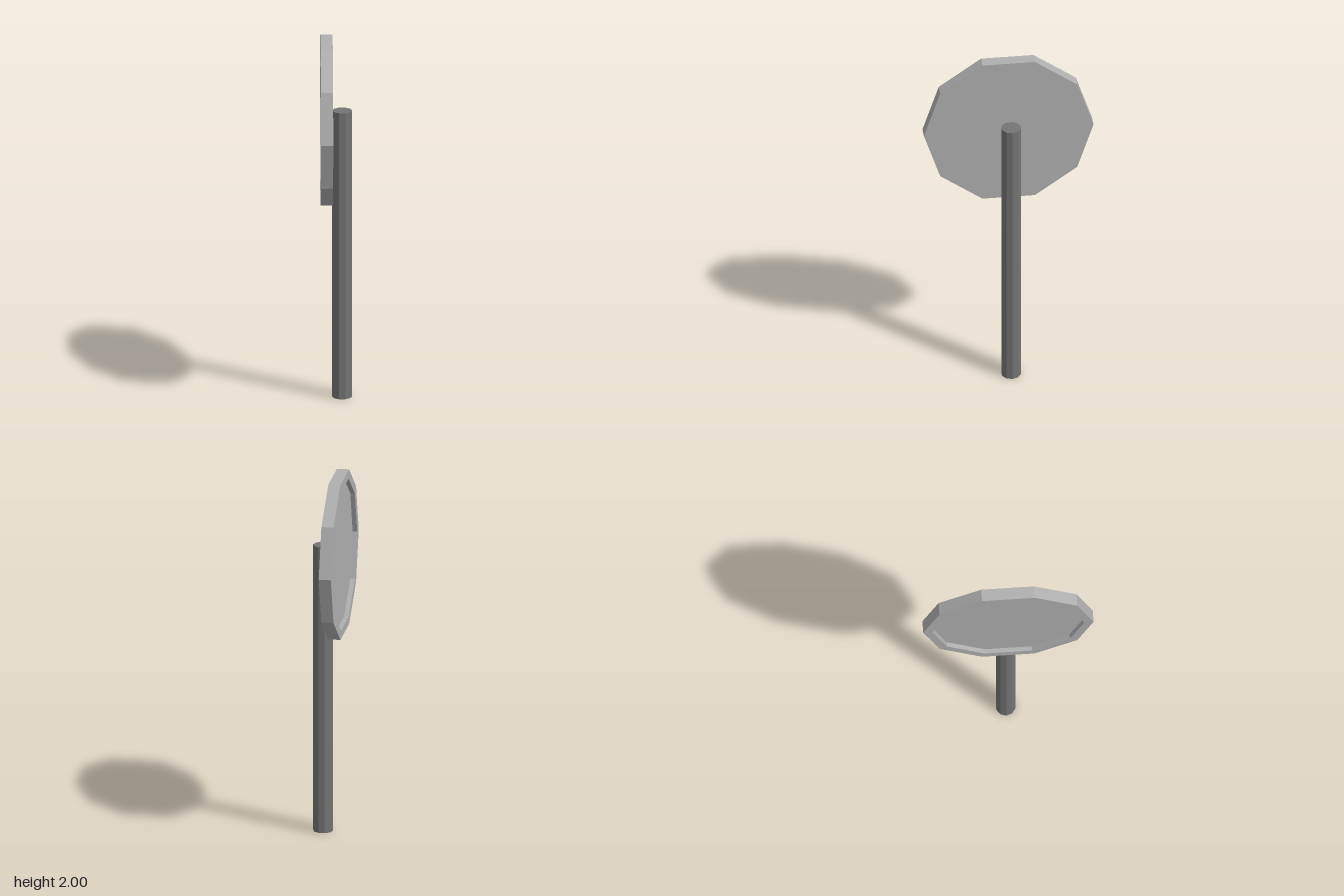
import * as THREE from 'three';

export function createModel() {
  const model = new THREE.Group();
  const postMaterial = new THREE.MeshStandardMaterial({ color: 0x747474, flatShading: true });
  const discMaterial = new THREE.MeshStandardMaterial({ color: 0xafafaf, flatShading: true });

  // Ten-sided dark post, a corner pointing along +x
  const postHeight = 1.615;
  const post = new THREE.Mesh(
    new THREE.CylinderGeometry(0.054, 0.054, postHeight, 10, 1, false, Math.PI / 2),
    postMaterial
  );
  post.name = 'post';
  post.position.set(0.031, postHeight / 2, -0.007);
  model.add(post);

  // Ten-sided sign disc: flat towards the post, raised rim around a recessed face on -x
  const radius = 0.46, innerRadius = 0.41, thickness = 0.066, recess = 0.025;
  const profile = [
    [0, 0],
    [radius, 0],
    [radius, thickness],
    [innerRadius, thickness],
    [innerRadius, thickness - recess],
    [0, thickness - recess],
  ].map(([r, y]) => new THREE.Vector2(r, y));
  const disc = new THREE.Mesh(new THREE.LatheGeometry(profile, 10), discMaterial);
  disc.name = 'signDisc';
  disc.rotation.z = Math.PI / 2; // lathe axis turns to -x
  disc.position.set(-0.02, 1.5625, 0);
  model.add(disc);

  return model;
}
